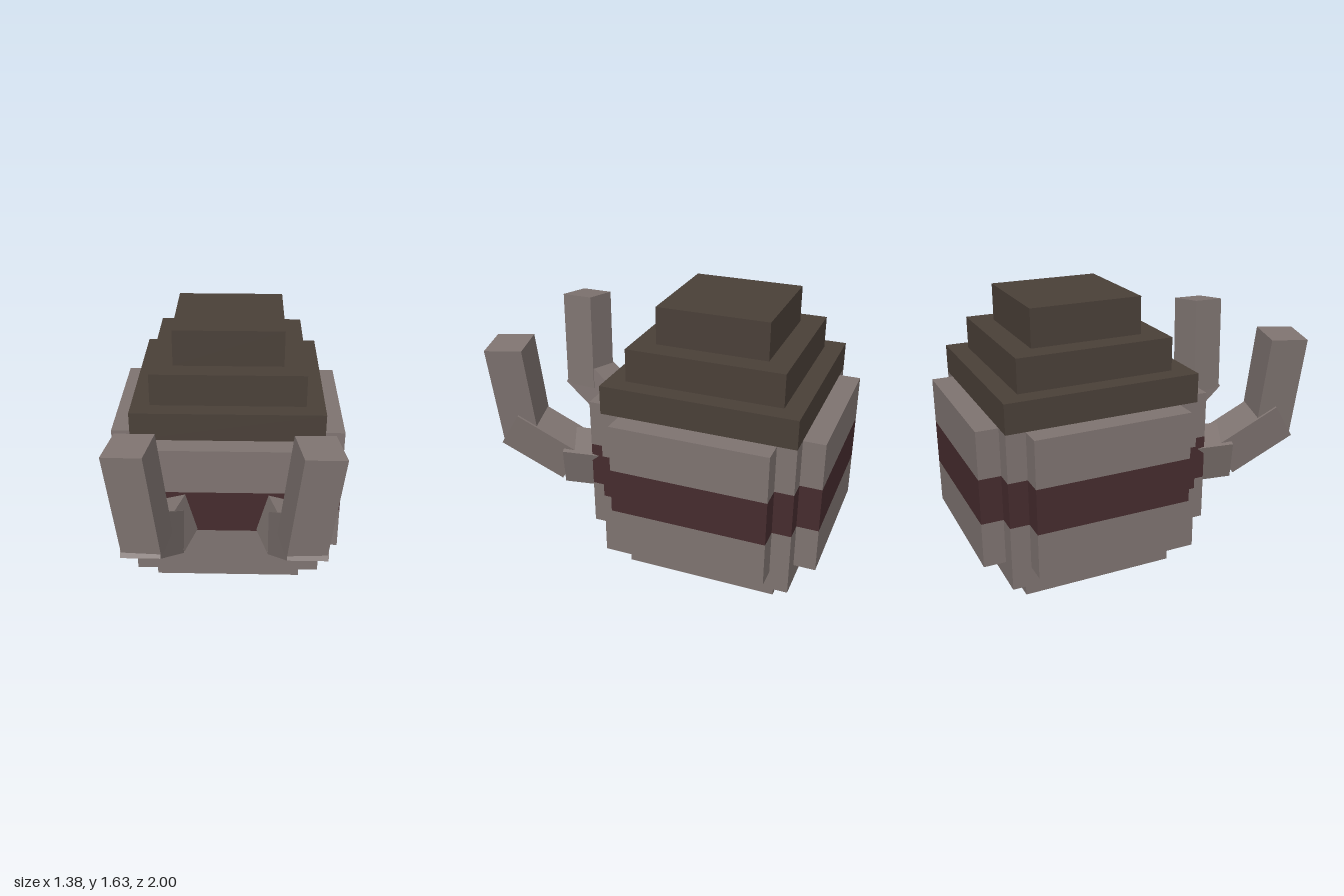
import * as THREE from 'three';

const stone = new THREE.MeshStandardMaterial({ name: 'warm grey', color: 0x7f7471 });
const brown = new THREE.MeshStandardMaterial({ name: 'dark brown', color: 0x4a4038 });
const maroon = new THREE.MeshStandardMaterial({ name: 'dark maroon', color: 0x462c2e });

const BODY_Z = -0.31; // the body sits behind the arms

// Box given by its centre in plan, its plan size and its bottom and top heights
function block(parent, name, material, x, z, w, d, y0, y1) {
  const mesh = new THREE.Mesh(new THREE.BoxGeometry(w, y1 - y0, d), material);
  mesh.name = name;
  mesh.position.set(x, (y0 + y1) / 2, z);
  parent.add(mesh);
}

// Block split into grey, maroon and grey layers
function bandedBlock(parent, name, x, z, w, d, y0) {
  const group = new THREE.Group();
  group.name = name;
  block(group, name + 'Lower', stone, x, z, w, d, y0, 0.51);
  block(group, name + 'Stripe', maroon, x, z, w, d, 0.51, 0.775);
  block(group, name + 'Upper', stone, x, z, w, d, 0.775, 1.05);
  parent.add(group);
}

// Tilted box growing from a corner: along its length, across its width, then its depth
function limb(parent, name, side, { corner, along, across, size }) {
  const v = new THREE.Vector3(...along).normalize();
  const u = new THREE.Vector3(...across);
  u.addScaledVector(v, -u.dot(v)).normalize();
  const n = new THREE.Vector3().crossVectors(v, u);
  const [w, h, l] = size;
  const centre = new THREE.Vector3(...corner)
    .addScaledVector(u, w / 2).addScaledVector(n, h / 2).addScaledVector(v, l / 2);
  for (const p of [v, n, centre]) p.x *= side;
  const mesh = new THREE.Mesh(new THREE.BoxGeometry(w, h, l), stone);
  mesh.name = name;
  mesh.quaternion.setFromRotationMatrix(
    new THREE.Matrix4().makeBasis(new THREE.Vector3().crossVectors(n, v), n, v));
  mesh.position.copy(centre);
  parent.add(mesh);
}

const ARM = {
  shoulder: { corner: [0.135, 0.51, 0.22], along: [0.24, 0.05, 0.97], across: [0.215, -0.06, -0.05], size: [0.225, 0.25, 0.42] },
  forearm: { corner: [0.238, 0.525, 0.63], along: [0.09, 0.222, 0.352], across: [0.22, -0.03, -0.04], size: [0.225, 0.24, 0.425] },
  hand: { corner: [0.325, 0.737, 0.968], along: [0.068, 0.62, 0.03], across: [0.215, -0.022, -0.041], size: [0.22, 0.225, 0.624] },
};

export function createModel() {
  const model = new THREE.Group();
  model.name = 'steppedCreature';

  // Body: base, core and four raised plates
  const body = new THREE.Group();
  body.name = 'body';
  block(body, 'base', stone, 0, BODY_Z, 0.91, 0.91, 0, 0.13);
  bandedBlock(body, 'core', 0, BODY_Z, 1.13, 1.13, 0.13);
  for (const s of [1, -1]) {
    bandedBlock(body, s > 0 ? 'frontPlate' : 'backPlate', 0, BODY_Z + s * 0.628, 0.91, 0.126, 0.245);
    bandedBlock(body, s > 0 ? 'leftPlate' : 'rightPlate', s * 0.628, BODY_Z, 0.126, 0.91, 0.245);
  }
  model.add(body);

  // Stepped top
  const cap = new THREE.Group();
  cap.name = 'steppedCap';
  [[1.13, 1.05, 1.22], [0.91, 1.22, 1.413], [0.65, 1.413, 1.63]].forEach(([w, y0, y1], i) =>
    block(cap, 'capTier' + (i + 1), brown, 0, BODY_Z, w, w, y0, y1));
  model.add(cap);

  // Arms reaching forward and up
  for (const side of [1, -1]) {
    const arm = new THREE.Group();
    arm.name = side > 0 ? 'leftArm' : 'rightArm';
    for (const [name, spec] of Object.entries(ARM)) limb(arm, name, side, spec);
    model.add(arm);
  }
  return model;
}
